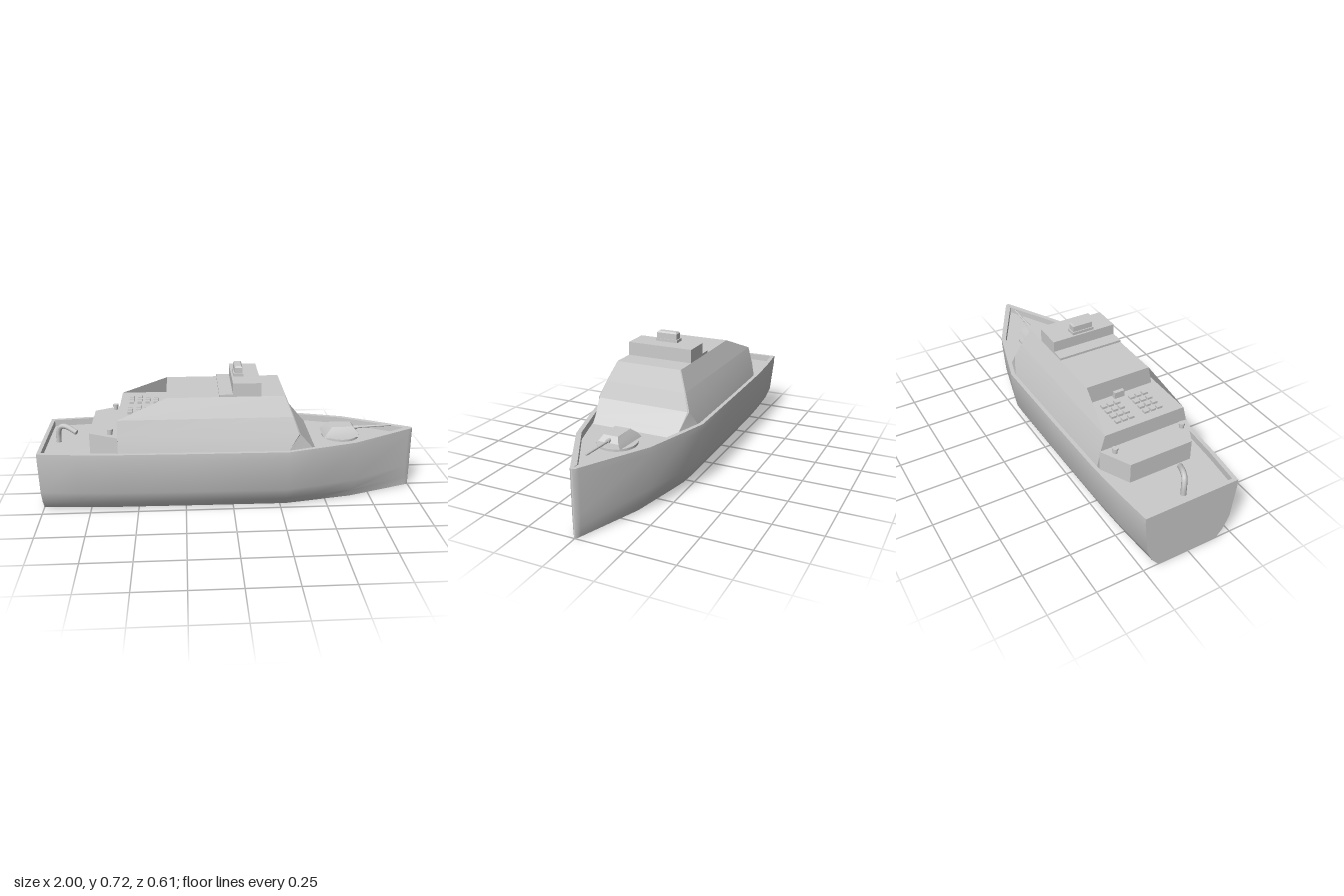
import * as THREE from 'three';
import { toCreasedNormals } from 'three/addons/utils/BufferGeometryUtils.js';

const mat = new THREE.MeshStandardMaterial({ color: 0xcccccc, side: THREE.DoubleSide });

// Mirror a +z half outline [x, z] (stern to bow) into a full ring at height y
function ring(half, y) {
  const port = half.map(([x, z]) => [x, y, z]);
  const starboard = half.map(([x, z]) => [x, y, -z]).reverse();
  return [...port, ...starboard];
}

// Skin a stack of equal rings; optionally join the ends and cap the top
function loft(rings, { closed = true, cap = false, crease = 0.3 } = {}) {
  const n = rings[0].length, pos = rings.flat(2), idx = [];
  for (let j = 0; j < rings.length - 1; j++) {
    for (let i = 0; i < (closed ? n : n - 1); i++) {
      const a = j * n + i, b = j * n + (i + 1) % n;
      idx.push(a, b, b + n, a, b + n, a + n);
    }
  }
  if (cap) {
    const top = rings[rings.length - 1], base = (rings.length - 1) * n;
    const xs = top.map((p) => p[0]);
    pos.push((Math.min(...xs) + Math.max(...xs)) / 2, top[0][1], 0);
    for (let i = 0; i < n; i++) idx.push(base + i, base + (i + 1) % n, rings.length * n);
  }
  const g = new THREE.BufferGeometry();
  g.setAttribute('position', new THREE.Float32BufferAttribute(pos, 3));
  g.setIndex(idx);
  return toCreasedNormals(g, crease);
}

const rect = (x0, x1, z) => [[x0, z], [x1, z]];

export function createModel() {
  const model = new THREE.Group();
  const add = (name, geometry, x = 0, y = 0, z = 0, parent = model) => {
    const m = new THREE.Mesh(geometry, mat);
    m.name = name;
    m.position.set(x, y, z);
    parent.add(m);
    return m;
  };
  const box = (name, x0, x1, y0, y1, width, z = 0, parent = model) =>
    add(name, new THREE.BoxGeometry(x1 - x0, y1 - y0, width), (x0 + x1) / 2, (y0 + y1) / 2, z, parent);

  // Hull: open-bottomed shell with a raised rim around a sunken deck
  const plan = [[-1, 0.255], [-0.8, 0.276], [-0.6, 0.289], [-0.2, 0.298], [0.28, 0.305],
    [0.42, 0.266], [0.645, 0.2], [0.975, 0.022], [0.993, 0.013], [1, 0.003]];
  const inner = plan.map(([x, z]) => [x < 0 ? x * 0.98 : x * 0.975, Math.max(z - 0.02, 0.001)]);
  const section = [[0.66, 0], [0.81, 0.05], [0.92, 0.117], [1, 0.305], [1, 0.34]];
  const hullRings = section.map(([s, y]) => ring(plan.map(([x, z]) => [x, z * s]), y));
  add('hull', loft(hullRings, { crease: 0.6 }));
  add('rimAndDeck', loft([ring(plan, 0.34), ring(inner, 0.34), ring(inner, 0.305)], { cap: true }));

  // Superstructure: sloped walls, corner facets and a sunken aft launcher deck
  const mid = [[-0.59, 0.222], [0.305, 0.222], [0.31, 0.218]];
  add('superstructure', loft([
    ring([[-0.59, 0.265], [0.27, 0.287], [0.435, 0.235]], 0.305),
    ring([[-0.59, 0.26], [0.285, 0.278], [0.405, 0.236]], 0.34),
    ring([[-0.59, 0.245], [0.335, 0.255], [0.342, 0.248]], 0.415),
    ring(mid, 0.5),
  ], { cap: true }));
  const roof = [[-0.34, 0.178], [0.265, 0.178], [0.27, 0.174]];
  add('upperWalls', loft([ring(mid, 0.5), ring(roof, 0.6)], { closed: false }));
  add('roof', loft([ring(roof, 0.599), ring(roof, 0.6)], { closed: false, cap: true }));
  add('aftBulkhead', loft([
    [[-0.34, 0.5, -0.2], [-0.34, 0.5, 0.2]],
    [[-0.34, 0.6, -0.178], [-0.34, 0.6, 0.178]],
  ], { closed: false }));

  // Low aft house, narrowing toward the stern
  const aft = [[-0.74, 0.172], [-0.59, 0.25]];
  add('aftHouse', loft([ring(aft, 0.305), ring(aft, 0.415)], { cap: true }));
  for (const side of [-1, 1]) {
    add('aftPost', new THREE.CylinderGeometry(0.012, 0.012, 0.03, 12), -0.63, 0.425, side * 0.19);
    add('aftPostCap', new THREE.CylinderGeometry(0.015, 0.015, 0.012, 12), -0.63, 0.438, side * 0.19);
  }

  // Launcher cells in two blocks
  const cells = new THREE.Group();
  cells.name = 'launcherCells';
  model.add(cells);
  for (const side of [-1, 1]) {
    for (let i = 0; i < 4; i++) {
      for (let j = 0; j < 3; j++) {
        const x = -0.53 + i * 0.043;
        box('cell', x - 0.012, x + 0.012, 0.495, 0.512, 0.028, side * (0.043 + j * 0.037), cells);
      }
    }
  }
  box('deckLocker', -0.37, -0.35, 0.5, 0.535, 0.055, -0.008);

  // Bridge and sensor housing
  box('bridge', 0, 0.145, 0.6, 0.67, 0.356);
  box('roofStep', -0.07, 0, 0.6, 0.612, 0.356);
  box('sensorBase', 0.01, 0.062, 0.67, 0.685, 0.122);
  add('sensorHousing', loft([
    ring(rect(0.016, 0.058, 0.056), 0.685),
    ring(rect(0.016, 0.058, 0.056), 0.715),
    ring(rect(0.023, 0.051, 0.049), 0.723),
  ], { cap: true }));

  // Foredeck gun
  add('gunBase', new THREE.CylinderGeometry(0.1, 0.1, 0.012, 32), 0.6, 0.311, 0);
  add('gunTurret', loft([
    ring([[0.5, 0.078], [0.69, 0.064]], 0.317),
    ring([[0.515, 0.066], [0.685, 0.054]], 0.34),
    ring([[0.545, 0.042], [0.66, 0.038]], 0.368),
  ], { cap: true }));
  const barrel = add('gunBarrel', new THREE.CylinderGeometry(0.005, 0.007, 0.23, 12), 0.765, 0.353, 0);
  barrel.rotation.z = -Math.PI / 2 + 0.04;
  const sleeve = add('gunSleeve', new THREE.CylinderGeometry(0.01, 0.01, 0.05, 12), 0.67, 0.349, 0);
  sleeve.rotation.z = barrel.rotation.z;

  // Stern davit: bent arm reaching forward and to port
  const arm = new THREE.CatmullRomCurve3([[-0.925, 0.305, 0], [-0.922, 0.36, 0.002], [-0.908, 0.393, 0.01],
    [-0.88, 0.4, 0.022], [-0.82, 0.375, 0.05]].map((p) => new THREE.Vector3(...p)));
  add('davitArm', new THREE.TubeGeometry(arm, 24, 0.014, 8, false));
  const tip = add('davitTip', new THREE.CircleGeometry(0.014, 8));
  tip.position.copy(arm.getPoint(1));
  tip.lookAt(arm.getPoint(1).add(arm.getTangent(1)));

  return model;
}
